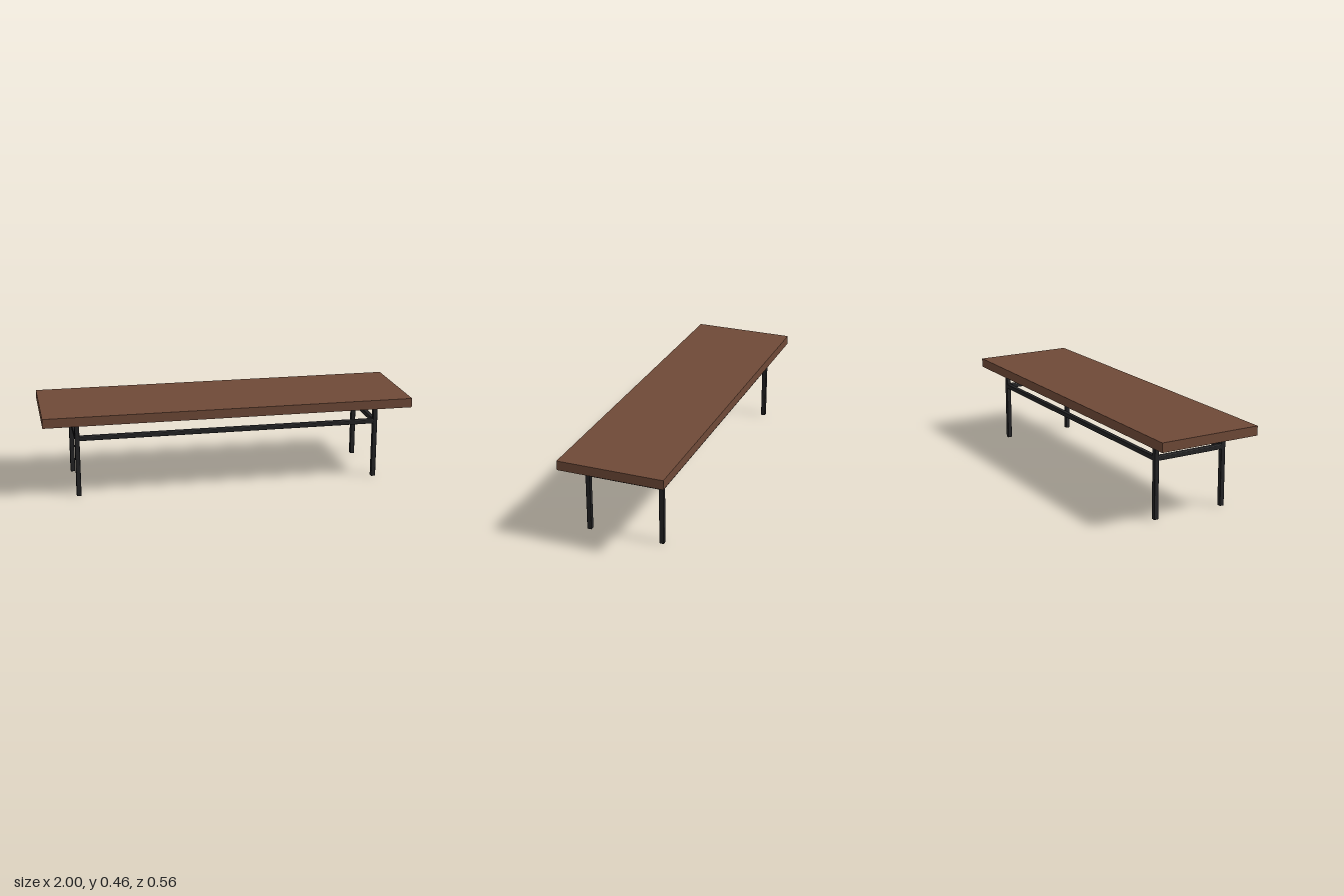
import * as THREE from 'three';
import { RoundedBoxGeometry } from 'three/addons/geometries/RoundedBoxGeometry.js';

export function createModel() {
  const model = new THREE.Group();
  model.name = 'bench';

  const wood = new THREE.MeshStandardMaterial({ color: 0x6e4937 });
  wood.name = 'brown wood';
  const metal = new THREE.MeshStandardMaterial({ color: 0x222224 });
  metal.name = 'black metal';

  const add = (name, geometry, material, x, y, z) => {
    const mesh = new THREE.Mesh(geometry, material);
    mesh.name = name;
    mesh.position.set(x, y, z);
    model.add(mesh);
  };

  const legX = 0.818, legZ = 0.2, bar = 0.025;
  const topBottom = 0.41, topHeight = 0.05, railY = 0.32;

  // Solid plank top
  add('seatTop', new THREE.BoxGeometry(2, topHeight, 0.564), wood, 0, topBottom + topHeight / 2, 0);

  // Four square legs with softened edges, reaching just into the plank
  const legHeight = topBottom + 0.003;
  const legGeometry = new RoundedBoxGeometry(bar, legHeight, bar, 2, 0.003);
  for (const x of [-1, 1]) {
    for (const z of [-1, 1]) {
      const name = (z > 0 ? 'front' : 'back') + (x > 0 ? 'Left' : 'Right') + 'Leg';
      add(name, legGeometry, metal, x * legX, legHeight / 2, z * legZ);
    }
  }

  // Rails joining the legs into a rectangular frame
  const longRail = new RoundedBoxGeometry(2 * legX - bar + 0.006, bar, bar, 2, 0.003);
  const endRail = new RoundedBoxGeometry(bar, bar, 2 * legZ - bar + 0.006, 2, 0.003);
  for (const s of [-1, 1]) {
    add(s > 0 ? 'frontRail' : 'backRail', longRail, metal, 0, railY, s * legZ);
    add(s > 0 ? 'leftRail' : 'rightRail', endRail, metal, s * legX, railY, 0);
  }

  return model;
}
